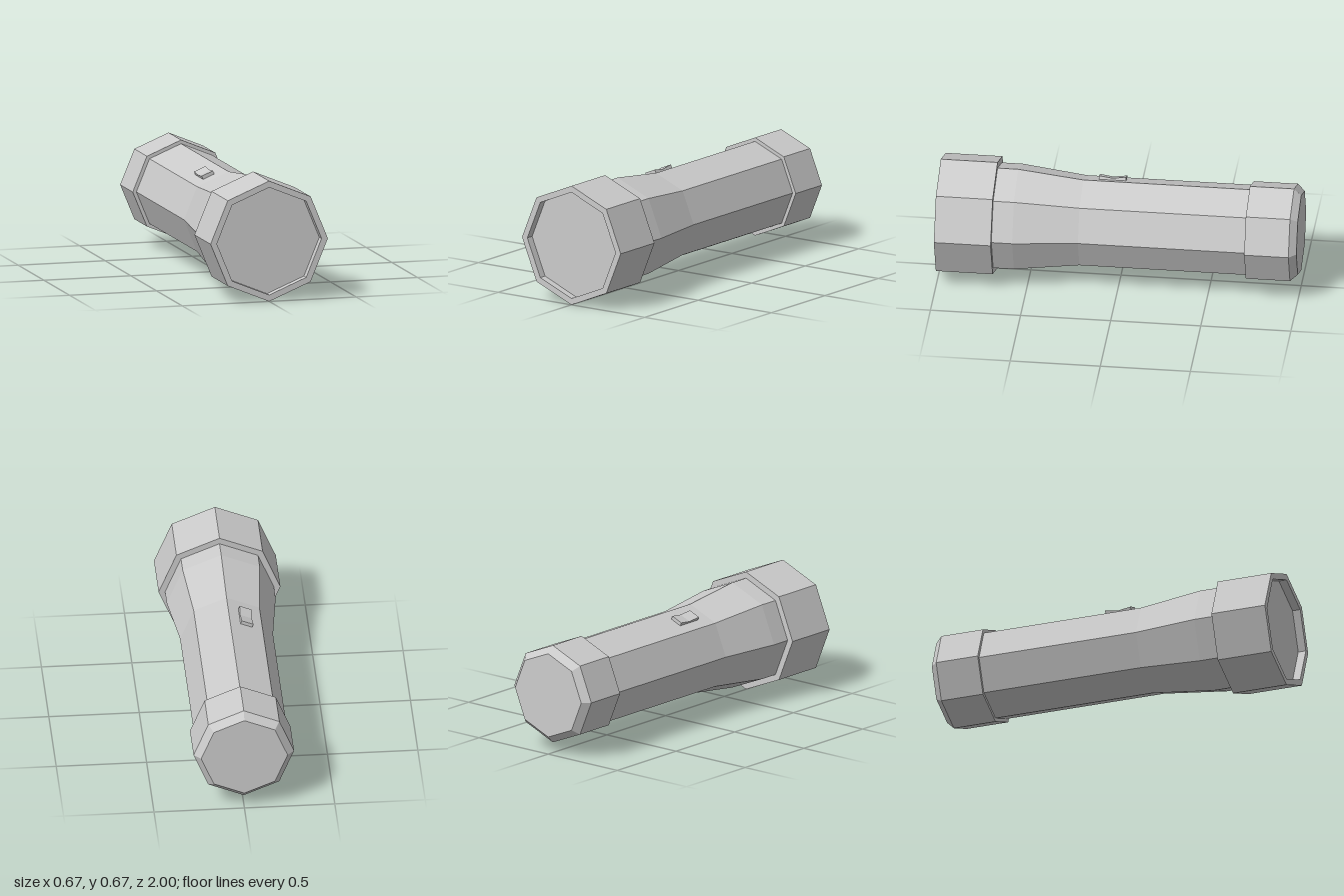
import * as THREE from 'three';

const SIDES = 8;
const AXIS_Y = 0.337;

const material = new THREE.MeshStandardMaterial({ color: 0xcccccc, flatShading: true });

function addMesh(parent, name, geometry) {
  const mesh = new THREE.Mesh(geometry, material);
  mesh.name = name;
  parent.add(mesh);
  return mesh;
}

// Octagonal ring swept from [radius, z] pairs, listed from back to front along the axis
function octagonal(profile) {
  const points = profile.map(([r, z]) => new THREE.Vector2(r, z));
  return new THREE.LatheGeometry(points, SIDES).rotateX(Math.PI / 2);
}

export function createModel() {
  const torch = new THREE.Group();
  torch.name = 'flashlight';

  const barrel = new THREE.Group();
  barrel.name = 'barrel';
  barrel.position.y = AXIS_Y;
  torch.add(barrel);

  // Tail cap with chamfered end
  addMesh(barrel, 'tailCap', octagonal([
    [0, -1], [0.239, -1], [0.278, -0.96], [0.278, -0.715], [0.25, -0.715],
  ]));

  // Grip, flaring toward the head
  addMesh(barrel, 'body', octagonal([
    [0.257, -0.72], [0.257, 0.21], [0.301, 0.57], [0.301, 0.69],
  ]));

  // Head collar with a recessed mouth
  addMesh(barrel, 'head', octagonal([
    [0.295, 0.685], [0.337, 0.685], [0.337, 1], [0.301, 1], [0.301, 0.955],
  ]));

  // Lens set back in the mouth
  addMesh(barrel, 'lens', new THREE.CircleGeometry(0.301, SIDES)).position.z = 0.955;

  // Rocker switch with a dipped top, lying on the upper right facet
  const rocker = new THREE.Shape([
    [-0.075, -0.01], [0.075, -0.01], [0.075, 0.02], [0, 0.01], [-0.075, 0.02],
  ].map(([u, v]) => new THREE.Vector2(u, v)));
  const rockerGeometry = new THREE.ExtrudeGeometry(rocker, { depth: 0.07, bevelEnabled: false });
  rockerGeometry.translate(0, 0, -0.035).rotateY(Math.PI / 2);
  rockerGeometry.translate(0, 0.257 * Math.cos(Math.PI / SIDES), 0.055);
  addMesh(barrel, 'switch', rockerGeometry).rotation.z = Math.PI / SIDES;

  return torch;
}
